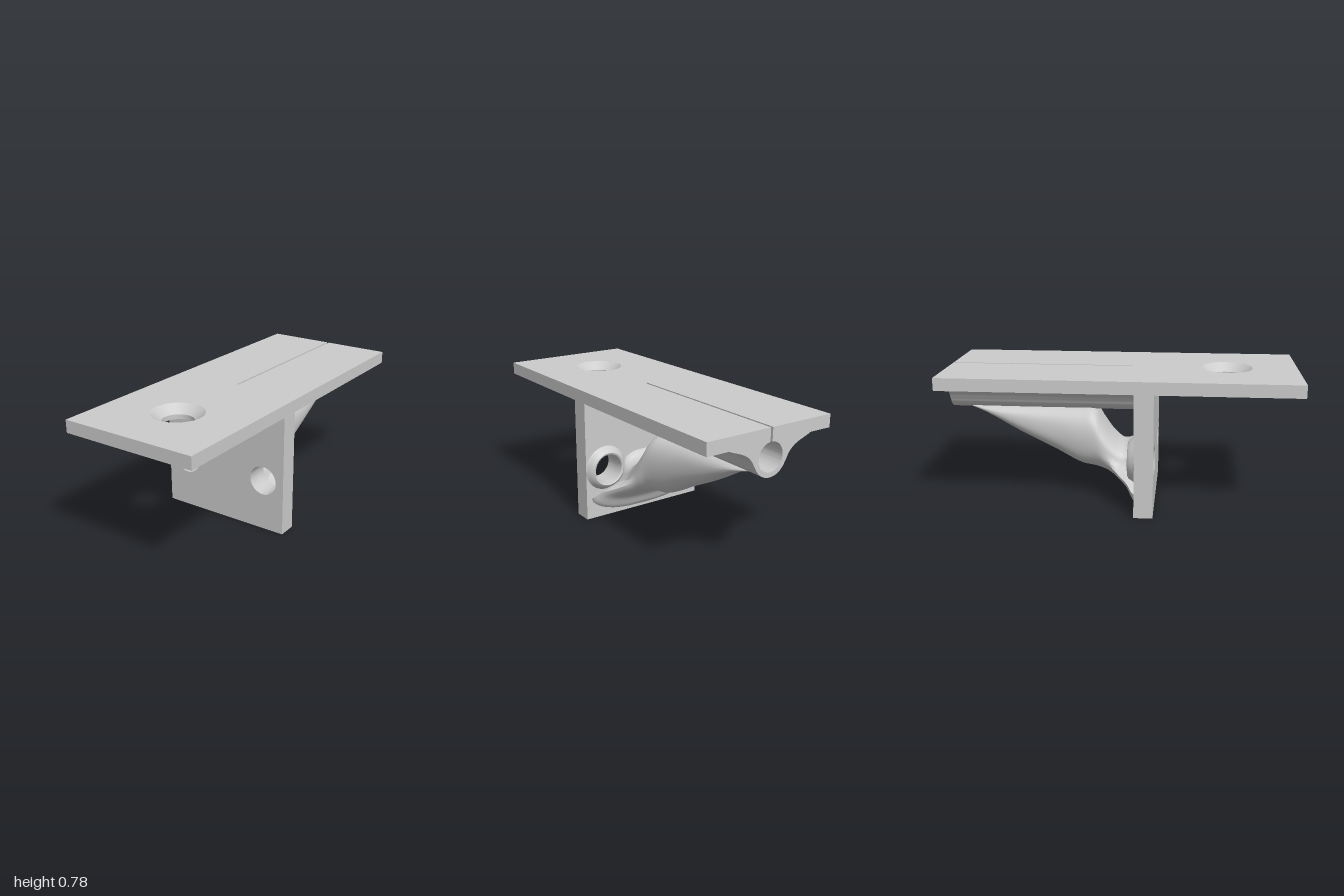
import * as THREE from 'three';
import { toCreasedNormals } from 'three/addons/utils/BufferGeometryUtils.js';

const material = new THREE.MeshStandardMaterial({ color: 0xcccccc });
const SLOT = 0.007;          // half width of the saw slot
const BORE_Y = 0.628, BORE_R = 0.079, TUBE_R = 0.105;

function add(group, name, geometry) {
  const mesh = new THREE.Mesh(toCreasedNormals(geometry, 0.6), material);
  mesh.name = name;
  group.add(mesh);
  return mesh;
}

function circleHole(shape, x, y, r) {
  shape.holes.push(new THREE.Path().absarc(x, y, r, 0, Math.PI * 2, true));
}

function extrude(shape, depth) {
  return new THREE.ExtrudeGeometry(shape, { depth, bevelEnabled: false, curveSegments: 32 });
}

function lathe(points) {
  return new THREE.LatheGeometry(points.map(p => new THREE.Vector2(...p)), 48);
}

// Horizontal plate: outline in x / -z, notched by the slot at the back
function topPlate() {
  const s = new THREE.Shape();
  [[-0.4, -1], [0.4, -1], [0.4, 1], [SLOT, 1], [SLOT, -0.06], [-SLOT, -0.06], [-SLOT, 1], [-0.4, 1]]
    .forEach(([x, y], i) => (i ? s.lineTo(x, y) : s.moveTo(x, y)));
  s.closePath();
  circleHole(s, 0, -0.6, 0.145);
  return extrude(s, 0.072).rotateX(-Math.PI / 2).translate(0, 0.708, 0);
}

// Tube section flaring up into the plate; open = bored and slotted
function ribShape(open) {
  const s = new THREE.Shape();
  const a = 0.45;
  const tx = Math.cos(a) * TUBE_R, ty = BORE_Y - Math.sin(a) * TUBE_R;
  s.moveTo(-SLOT, 0.71);
  s.lineTo(-0.38, 0.71);
  s.bezierCurveTo(-0.26, 0.675, -0.15, 0.68, -tx, ty);
  s.absarc(0, BORE_Y, TUBE_R, Math.PI + a, Math.PI * 2 - a, false);
  s.bezierCurveTo(0.15, 0.68, 0.26, 0.675, 0.38, 0.71);
  s.lineTo(SLOT, 0.71);
  if (open) {
    const b = Math.asin(SLOT / BORE_R);
    s.absarc(0, BORE_Y, BORE_R, Math.PI / 2 - b, -Math.PI * 1.5 + b, true);
  }
  s.closePath();
  return s;
}

// Narrow the flare toward the back end
function taperFlare(geometry) {
  const p = geometry.attributes.position;
  for (let i = 0; i < p.count; i++) {
    const x = p.getX(i), over = Math.abs(x) - TUBE_R;
    if (over > 0) {
      const k = THREE.MathUtils.lerp(0.6, 1, (p.getZ(i) + 1) / 1.06);
      p.setX(i, Math.sign(x) * (TUBE_R + over * k));
    }
  }
  return geometry;
}

// Closed loft along z through oval sections [z, bottom, top, upper half width, lower half width]
function loft(sections, n = 40, steps = 45) {
  const curves = [1, 2, 3, 4].map(k => new THREE.CatmullRomCurve3(
    sections.map(s => new THREE.Vector3(s[0], s[k], 0)), false, 'catmullrom'));
  const pos = [], index = [];
  for (let j = 0; j <= steps; j++) {
    const c = curves.map(curve => curve.getPoint(j / steps));
    const [bottom, top, wTop, wBottom] = c.map(v => v.y);
    for (let i = 0; i < n; i++) {
      const t = i / n * Math.PI * 2, sy = Math.sin(t), cx = Math.cos(t);
      const v = Math.sign(sy) * Math.abs(sy) ** 0.85;
      const w = THREE.MathUtils.lerp(wBottom, wTop, THREE.MathUtils.smoothstep(v, -0.45, 0.1));
      pos.push(Math.sign(cx) * Math.abs(cx) ** 0.75 * w,
        (top + bottom) / 2 + v * (top - bottom) / 2, c[0].x);
    }
  }
  for (let j = 0; j < steps; j++) for (let i = 0; i < n; i++) {
    const a = j * n + i, b = j * n + (i + 1) % n;
    index.push(a, b, a + n, b, b + n, a + n);
  }
  // End fans
  for (let i = 1; i < n - 1; i++) {
    const e = steps * n;
    index.push(0, i + 1, i, e, e + i, e + i + 1);
  }
  const g = new THREE.BufferGeometry();
  g.setAttribute('position', new THREE.Float32BufferAttribute(pos, 3));
  g.setIndex(index);
  return g;
}

export function createModel() {
  const model = new THREE.Group();
  model.name = 'bracket';

  add(model, 'topPlate', topPlate());

  // Countersunk screw seat filling the round opening
  add(model, 'countersink', lathe([[0.145, 0.78], [0.087, 0.735], [0.087, 0.708], [0.145, 0.708]]))
    .position.z = 0.6;

  // Upright plate with two bolt holes
  const wall = new THREE.Shape();
  wall.moveTo(-0.4, 0).lineTo(0.4, 0).lineTo(0.4, 0.71).lineTo(-0.4, 0.71).closePath();
  for (const side of [-1, 1]) circleHole(wall, side * 0.267, 0.301, 0.085);
  add(model, 'uprightPlate', extrude(wall, 0.107).translate(0, 0, 0.093));

  // Slotted tube under the plate, closed at its front end
  add(model, 'tubeRib', taperFlare(extrude(ribShape(true), 1.06).translate(0, 0, -1)));
  add(model, 'tubeEnd', extrude(ribShape(false), 0.05).translate(0, 0, 0.06));

  // Diagonal strut running down from the tube and spreading into the foot
  add(model, 'strut', loft([
    [-0.9, 0.53, 0.54, 0.04, 0.04],
    [-0.8, 0.495, 0.54, 0.08, 0.08],
    [-0.6, 0.38, 0.54, 0.1, 0.1],
    [-0.4, 0.28, 0.54, 0.12, 0.12],
    [-0.25, 0.2, 0.54, 0.145, 0.14],
    [-0.16, 0.182, 0.535, 0.16, 0.16],
    [-0.11, 0.173, 0.46, 0.17, 0.175],
    [-0.06, 0.158, 0.385, 0.175, 0.2],
    [0, 0.13, 0.33, 0.175, 0.27],
    [0.05, 0.09, 0.335, 0.178, 0.34],
    [0.08, 0.03, 0.36, 0.18, 0.385],
    [0.11, 0.005, 0.38, 0.18, 0.395],
  ]));

  // Collars around the bolt holes
  for (const side of [-1, 1]) {
    const collar = add(model, 'boltCollar', lathe([
      [0.085, 0], [0.135, 0], [0.122, 0.015], [0.11, 0.035], [0.098, 0.042], [0.088, 0.037], [0.085, 0],
    ]).rotateX(-Math.PI / 2));
    collar.position.set(side * 0.267, 0.301, 0.095);
  }

  return model;
}
